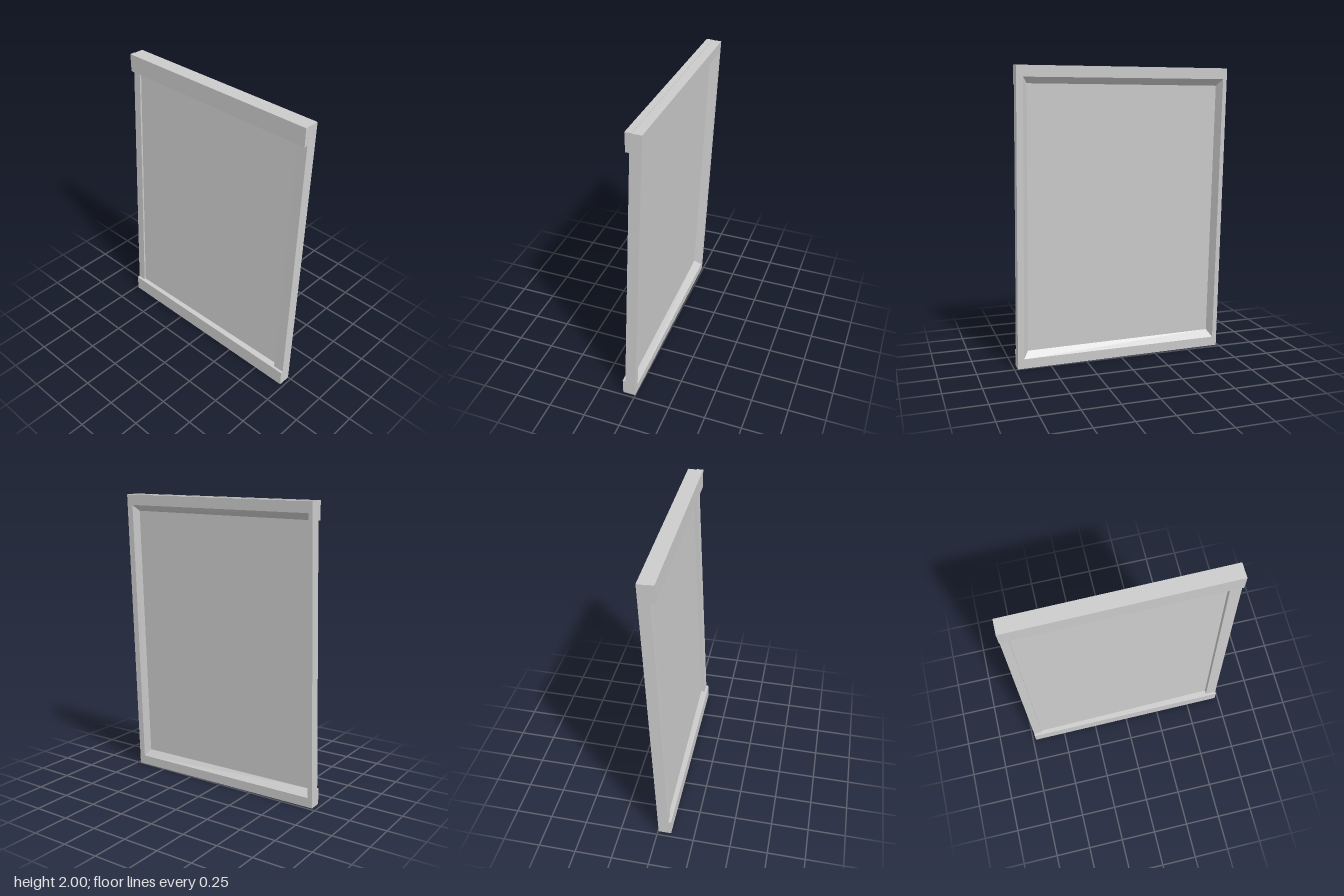
import * as THREE from 'three';

const material = new THREE.MeshStandardMaterial({ color: 0xcccccc, flatShading: true });

// Leaning frame: depth d is measured from the sloping front plane
const point = (z, y, d) => [-0.004 + 0.047 * y + 0.004 * z + d, y, z];

// Flat-faced solid between two matching loops; loop a runs counter-clockwise seen from outside
function loft(name, a, b, capped = true) {
  const pos = [];
  const tri = (p, q, r) => pos.push(...p, ...q, ...r);
  const n = a.length;
  for (let j = 0; j < n; j++) {
    const k = (j + 1) % n;
    tri(a[j], b[j], b[k]);
    tri(a[j], b[k], a[k]);
  }
  if (capped) {
    for (let j = 1; j < n - 1; j++) {
      tri(a[0], a[j], a[j + 1]);
      tri(b[0], b[j + 1], b[j]);
    }
  }
  const geometry = new THREE.BufferGeometry();
  geometry.setAttribute('position', new THREE.Float32BufferAttribute(pos, 3));
  geometry.computeVertexNormals();
  const mesh = new THREE.Mesh(geometry, material);
  mesh.name = name;
  return mesh;
}

export function createModel() {
  const group = new THREE.Group();
  group.name = 'leaningFrame';

  // Corner outlines as [z, y]: bottom left, bottom right, top right, top left
  const outer = [[0.727, 0.003], [-0.727, 0.01], [-0.722, 1.982], [0.711, 1.997]];
  const opening = [[0.684, 0.07], [-0.695, 0.076], [-0.695, 1.912], [0.668, 1.926]];
  const inner = [[0.65, 0.115], [-0.668, 0.12], [-0.668, 1.868], [0.638, 1.886]];
  const thickness = 0.073;
  const panelDepth = (z) => -0.045 + 0.012 * z;

  // Four mitred members with a bevelled front opening
  const section = (i) => [
    point(...outer[i], 0),
    point(...opening[i], 0),
    point(...inner[i], panelDepth(inner[i][0])),
    point(...inner[i], -thickness),
    point(...outer[i], -thickness),
  ];
  ['bottomRail', 'rightStile', 'topRail', 'leftStile'].forEach((name, i) => {
    group.add(loft(name, section(i), section((i + 1) % 4), false));
  });

  // Thin recessed panel
  const panelLoop = (offset) => inner.map(([z, y]) => point(z, y, panelDepth(z) - offset));
  group.add(loft('panel', panelLoop(0), panelLoop(0.008)));

  // Upright lips behind the bottom and top rails
  const lipSection = (z, low, high, backX) => [
    point(z, low, -0.062),
    point(z, high, -0.062),
    [backX + 0.004 * z, high, z],
    [backX + 0.004 * z, low, z],
  ];
  group.add(loft('bottomLip', lipSection(0.727, 0.003, 0.115, -0.09), lipSection(-0.727, 0.01, 0.12, -0.09)));
  group.add(loft('topLip', lipSection(0.711, 1.876, 2.0, -0.013), lipSection(-0.722, 1.865, 1.985, -0.013)));

  return group;
}
